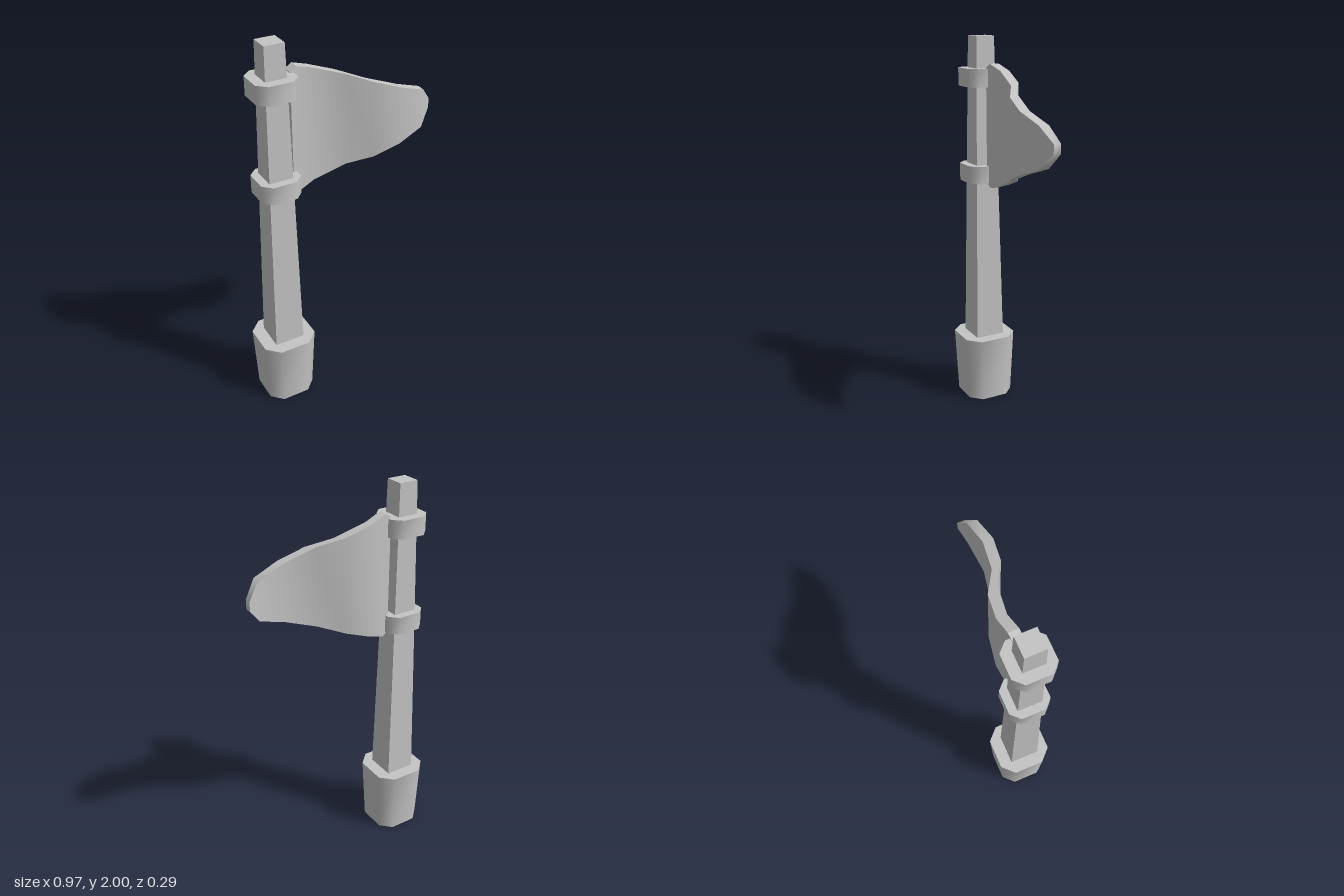
import * as THREE from 'three';
import { toCreasedNormals } from 'three/addons/utils/BufferGeometryUtils.js';

const POLE_X = -0.34;

// Skin a list of cross-sections (counter-clockwise seen from the last one) and cap both ends
function loft(sections) {
  const n = sections[0].length, last = (sections.length - 1) * n;
  const index = [];
  for (let s = 0; s < sections.length - 1; s++) {
    for (let i = 0; i < n; i++) {
      const a = s * n + i, b = s * n + (i + 1) % n;
      index.push(a, b, b + n, a, b + n, a + n);
    }
  }
  for (let i = 1; i < n - 1; i++) {
    index.push(0, i + 1, i, last, last + i, last + i + 1);
  }
  const geometry = new THREE.BufferGeometry();
  geometry.setAttribute('position', new THREE.Float32BufferAttribute(sections.flat(2), 3));
  geometry.setIndex(index);
  return toCreasedNormals(geometry, THREE.MathUtils.degToRad(50));
}

// Square with cut corners: h = half width, c = half length of the straight side
const octagon = (y, h, c) => [
  [h, c], [h, -c], [c, -h], [-c, -h], [-h, -c], [-h, c], [-c, h], [c, h],
].map(([x, z]) => [POLE_X + x, y, z]);

const square = (y, h) => [[h, h], [h, -h], [-h, -h], [-h, h]]
  .map(([x, z]) => [POLE_X + x, y, z]);

export function createModel() {
  const group = new THREE.Group();
  const grey = new THREE.MeshStandardMaterial({ color: 0xc4c4c4 });
  grey.name = 'plain grey';
  const add = (name, geometry) => {
    const mesh = new THREE.Mesh(geometry, grey);
    mesh.name = name;
    group.add(mesh);
  };

  // Flared foot and tapered square pole
  add('base', loft([octagon(0, 0.13, 0.073), octagon(0.36, 0.146, 0.082)]));
  add('pole', loft([square(0.3, 0.081), square(2, 0.05)]));

  // Two collars holding the flag
  [['lowerRing', 1.242], ['upperRing', 1.745]].forEach(([name, y]) =>
    add(name, loft([octagon(y, 0.104, 0.06), octagon(y + 0.093, 0.104, 0.06)])));

  // Waving pennant: back x, back z, front x, front z along its length
  const wave = [
    [-0.253, -0.035, -0.253, 0.015],
    [-0.22, -0.041, -0.22, 0.01],
    [-0.133, -0.055, -0.133, -0.005],
    [0.0, -0.035, 0.03, 0.022],
    [0.12, 0.035, 0.148, 0.09],
    [0.285, 0.062, 0.285, 0.112],
    [0.427, 0.042, 0.42, 0.092],
    [0.485, 0.015, 0.485, 0.052],
  ];
  const midY = 1.542;
  // Half height tapers steadily, with clipped corners at both ends
  const halfHeight = (x) => {
    if (x < -0.22) return 0.3;
    if (x > 0.45) return 0.024;
    return 0.322 - (x + 0.22) * 0.346;
  };
  add('flag', loft(wave.map(([bx, bz, fx, fz]) => {
    const hb = halfHeight(bx), hf = halfHeight(fx);
    return [
      [bx, midY + hb, bz], [fx, midY + hf, fz],
      [fx, midY - hf, fz], [bx, midY - hb, bz],
    ];
  })));

  return group;
}
